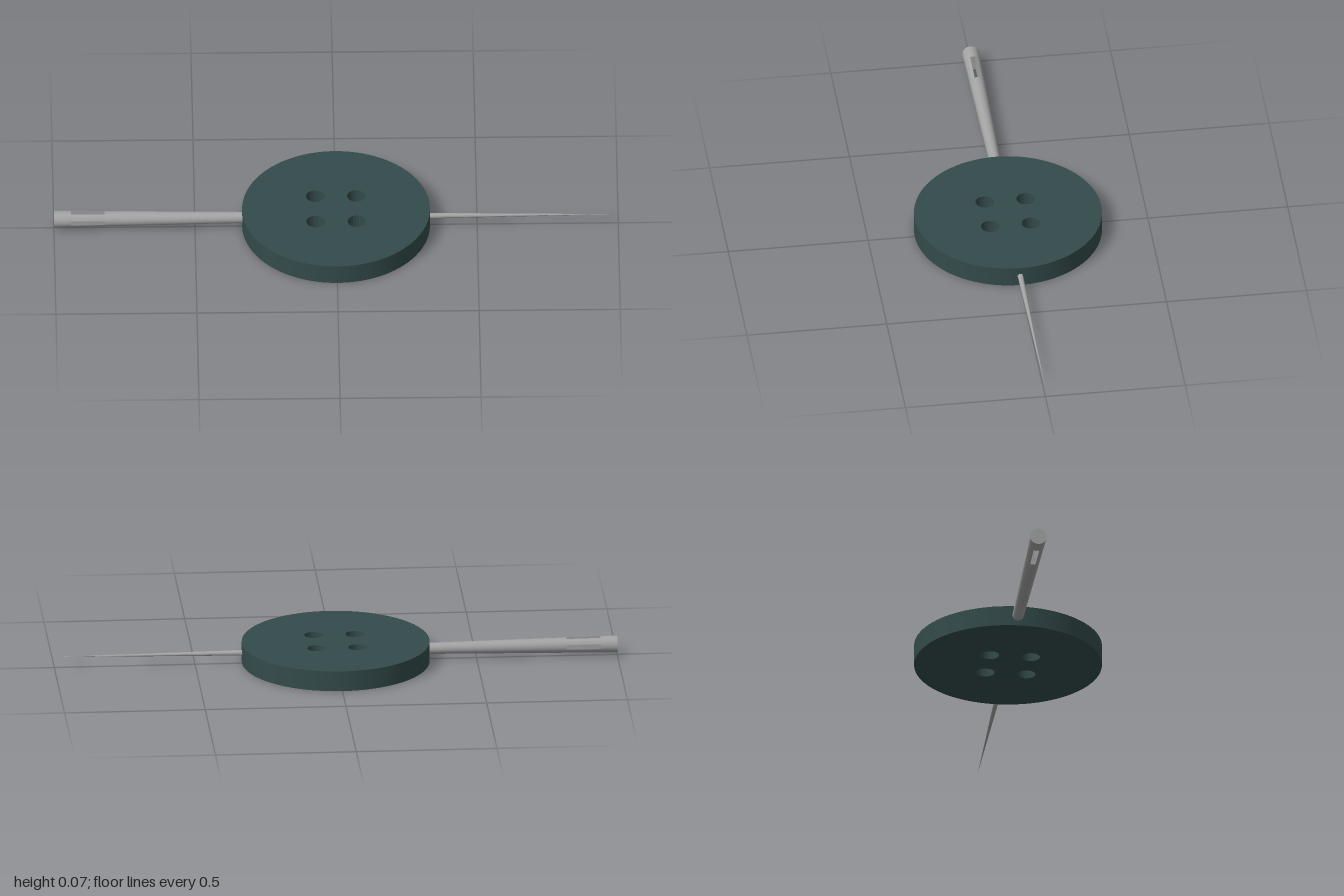
import * as THREE from 'three';
import { toCreasedNormals } from 'three/addons/utils/BufferGeometryUtils.js';

const THICK = 0.074;
const AXIS_Y = 0.039;
const END_R = 0.03;
const needleRadius = (x) => END_R * (1 - x) / 2;

export function createModel() {
  const group = new THREE.Group();
  const slate = new THREE.MeshStandardMaterial({ color: 0x344b4b });
  slate.name = 'dark slate';
  const steel = new THREE.MeshStandardMaterial({ color: 0xa3a3a3 });
  steel.name = 'steel grey';

  const add = (parent, name, geometry, material) => {
    const mesh = new THREE.Mesh(geometry, material);
    mesh.name = name;
    parent.add(mesh);
    return mesh;
  };

  // Round button with four through holes
  const disc = new THREE.Shape().absarc(0, 0, 0.333, 0, Math.PI * 2, false);
  for (const x of [-0.073, 0.073]) {
    for (const y of [-0.073, 0.073]) {
      disc.holes.push(new THREE.Path().absarc(x, y, 0.033, 0, Math.PI * 2, true));
    }
  }
  const button = new THREE.ExtrudeGeometry(disc, { depth: THICK, bevelEnabled: false, curveSegments: 48 });
  button.rotateX(-Math.PI / 2);
  add(group, 'button', toCreasedNormals(button, 0.6), slate);

  // Needle: one long taper, split around the eye
  const needle = new THREE.Group();
  needle.name = 'needle';
  needle.position.y = AXIS_Y;
  group.add(needle);
  const eyeStart = -0.94, eyeEnd = -0.82;

  const taper = (name, x0, x1) => {
    const g = new THREE.CylinderGeometry(needleRadius(x1), needleRadius(x0), x1 - x0, 24);
    g.rotateZ(-Math.PI / 2);
    g.translate((x0 + x1) / 2, 0, 0);
    add(needle, name, g, steel);
  };
  taper('needleHead', -1, eyeStart);
  taper('needleShaft', eyeEnd, 1);

  // Two walls on either side of the eye, open from top to bottom
  const slotHalf = 0.01;
  const r0 = needleRadius(eyeStart);
  const a = Math.acos(slotHalf / r0);
  for (const side of [0, Math.PI]) {
    const wall = new THREE.Shape().absarc(0, 0, r0, side - a, side + a, false);
    wall.closePath();
    const g = new THREE.ExtrudeGeometry(wall, { depth: eyeEnd - eyeStart, bevelEnabled: false, curveSegments: 12 });
    g.rotateY(Math.PI / 2);
    g.translate(eyeStart, 0, 0);
    const p = g.attributes.position;
    for (let i = 0; i < p.count; i++) {
      const k = needleRadius(p.getX(i)) / r0;
      p.setXYZ(i, p.getX(i), p.getY(i) * k, p.getZ(i) * k);
    }
    add(needle, side ? 'eyeWallFront' : 'eyeWallBack', toCreasedNormals(g, 0.6), steel);
  }
  return group;
}
